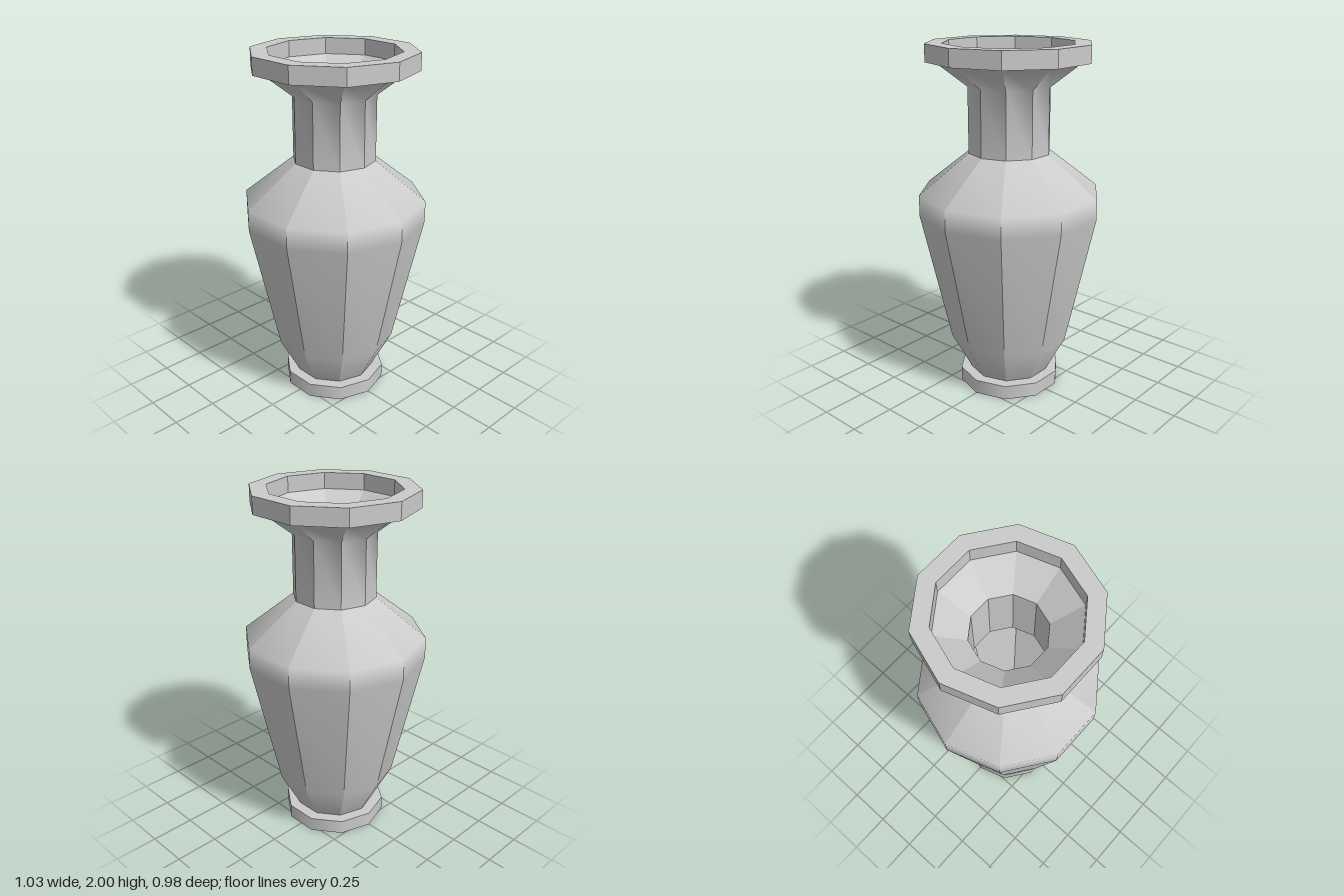
import * as THREE from 'three';
import { mergeGeometries } from 'three/addons/utils/BufferGeometryUtils.js';

const SIDES = 10;
const STEP = (Math.PI * 2) / SIDES;
const material = new THREE.MeshStandardMaterial({ color: 0xcccccc });
const toPoints = (profile) => profile.map(([r, y]) => new THREE.Vector2(r, y));

// Ten separate facets: creased between sides, smooth along the profile.
function facets(profile) {
  const strips = [];
  for (let i = 0; i < SIDES; i++) {
    const strip = new THREE.LatheGeometry(toPoints(profile), 1, Math.PI / 2 + i * STEP, STEP);
    strip.computeVertexNormals();
    strips.push(strip);
  }
  return mergeGeometries(strips);
}

// Every profile segment becomes its own facet ring, so all edges stay sharp.
function sharpFacets(profile) {
  const rings = [];
  for (let i = 0; i < profile.length - 1; i++) rings.push(facets([profile[i], profile[i + 1]]));
  return mergeGeometries(rings);
}

export function createModel() {
  const vase = new THREE.Group();
  vase.name = 'vase';

  const add = (name, geometry) => {
    const mesh = new THREE.Mesh(geometry, material);
    mesh.name = name;
    vase.add(mesh);
  };

  // Foot: smooth side band with flat top ledge and underside
  add('footBand', new THREE.LatheGeometry(toPoints([[0.298, 0], [0.298, 0.083]]), SIDES, Math.PI / 2));
  add('footLedge', facets([[0.298, 0.083], [0.2, 0.083]]));
  add('footUnderside', facets([[0, 0], [0.298, 0]]));

  // Body: tapered wall, short upright band and sloping shoulder
  add('body', facets([[0.234, 0.083], [0.35, 0.305], [0.515, 1.06], [0.515, 1.18], [0.232, 1.405]]));

  // Neck opening out into the flare
  add('neck', facets([[0.232, 1.405], [0.232, 1.77], [0.405, 1.905]]));

  // Rim: underside, outer edge, top and inner edge
  add('rim', sharpFacets([[0.4, 1.905], [0.457, 1.905], [0.457, 2], [0.364, 2], [0.364, 1.91]]));

  // Hollow interior from the mouth to the floor
  add('interior', sharpFacets([
    [0.364, 1.91], [0.2, 1.78], [0.2, 1.4], [0.475, 1.165],
    [0.475, 1.06], [0.315, 0.31], [0.205, 0.12], [0, 0.12],
  ]));

  return vase;
}
